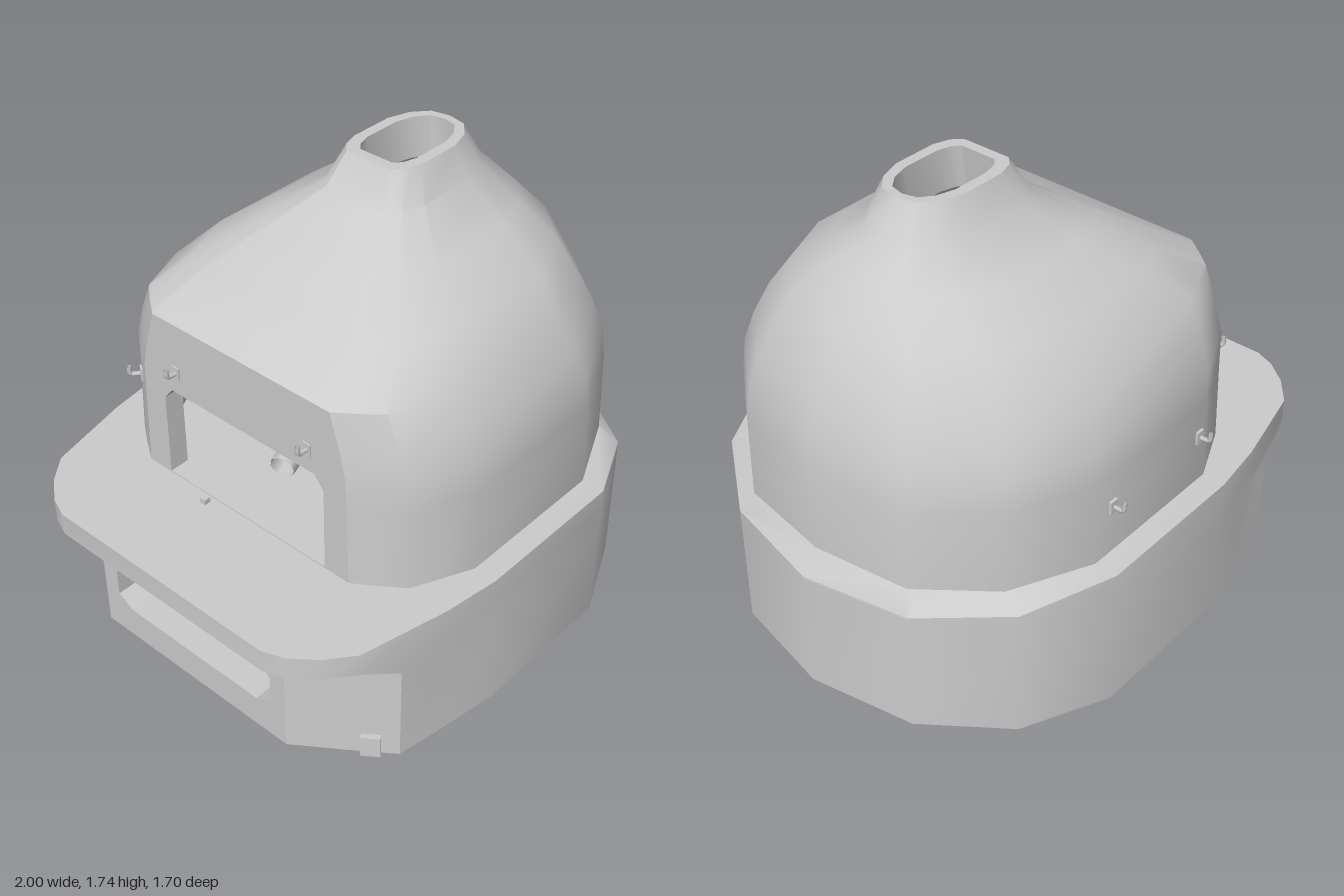
import * as THREE from 'three';
import { toCreasedNormals } from 'three/addons/utils/BufferGeometryUtils.js';

const grey = new THREE.MeshStandardMaterial({ color: 0xcccccc });
const greyDouble = new THREE.MeshStandardMaterial({ color: 0xcccccc, side: THREE.DoubleSide });

// Half outlines [x, z], running from the mouth (-x) round to the rear (+x)
const SLAB = [[-1, .49], [-.97, .57], [-.9, .66], [-.8, .74], [-.46, .82], [-.24, .85], [.38, .85], [.7, .7], [.92, .41], [1, 0]];
const FOOT = [[-.87, .46], [-.82, .53], [-.75, .63], [-.64, .78], [-.44, .815], [-.22, .85], [.38, .85], [.7, .7], [.92, .41], [1, 0]];
const DOME = [[-.58, .49], [-.56, .52], [-.52, .58], [-.46, .66], [-.35, .71], [-.24, .76], [.38, .76], [.68, .62], [.88, .37], [.935, 0]];

// Closed ring from a half outline; y is a number or a function of x
function ring(half, y) {
  const full = [...half, ...half.slice(0, -1).reverse().map(([x, z]) => [x, -z])];
  return full.map(([x, z]) => [x, typeof y === 'function' ? y(x) : y, z]);
}

// Dome outline squeezed to the range x0..x1 and half width w
function domeRing(y, x0, x1, w) {
  return ring(DOME.map(([x, z]) => [x0 + (x + .58) / 1.515 * (x1 - x0), z / .76 * w]), y);
}

// Skin over rings from bottom to top; the front segment is left out on the first `open` bands
function loft(rings, { open = 0, inward = false, capBottom = false, capTop = false, crease = .6 } = {}) {
  const pos = [];
  const tri = (a, b, c) => (inward ? pos.push(...a, ...c, ...b) : pos.push(...a, ...b, ...c));
  const n = rings[0].length;
  for (let r = 0; r < rings.length - 1; r++) {
    for (let i = 0; i < n; i++) {
      if (i === n - 1 && r < open) continue;
      const j = (i + 1) % n, a = rings[r], b = rings[r + 1];
      tri(a[i], a[j], b[j]);
      tri(a[i], b[j], b[i]);
    }
  }
  const fan = (q, flip) => {
    const c = [.1, q[0][1], 0];
    for (let i = 0; i < n; i++) {
      const j = (i + 1) % n;
      flip ? tri(c, q[j], q[i]) : tri(c, q[i], q[j]);
    }
  };
  if (capBottom) fan(rings[0], true);
  if (capTop) fan(rings[rings.length - 1], false);
  const g = new THREE.BufferGeometry();
  g.setAttribute('position', new THREE.Float32BufferAttribute(pos, 3));
  return toCreasedNormals(g, crease);
}

// Symmetric polygon from its right half, listed bottom to top
function mirrored(half, Type = THREE.Shape) {
  const pts = [...half, ...half.slice().reverse().map(([x, y]) => [-x, y])];
  return new Type(pts.map(([x, y]) => new THREE.Vector2(x, y)));
}

// Upright wall facing -x with one opening
function frontPanel(outline, hole, depth) {
  const shape = mirrored(outline);
  shape.holes.push(mirrored(hole, THREE.Path));
  return new THREE.ExtrudeGeometry(shape, { depth, bevelEnabled: false }).rotateY(Math.PI / 2);
}

export function createModel() {
  const model = new THREE.Group();
  const add = (name, geometry, material = grey, parent = model) => {
    const m = new THREE.Mesh(geometry, material);
    m.name = name;
    parent.add(m);
    return m;
  };

  // Base with overhanging shelf; the ledge dips towards the rear
  const edge = x => (x <= .38 ? .58 : .58 - (x - .38) / .62 * .09);
  add('base', loft([
    ring(FOOT, 0), ring(FOOT, .4),
    ring(SLAB, x => Math.min(.49, edge(x) - .01)), ring(SLAB, edge), ring(DOME, .58),
  ], { open: 1, capBottom: true, capTop: true }));

  // Front wall of the base with the wood store
  const store = add('woodStore', frontPanel(
    [[.46, 0], [.46, .4]], [[.32, .13], [.39, .17], [.39, .28], [.34, .33]], .35));
  store.position.x = -.87;
  const back = add('woodStoreBack', new THREE.PlaneGeometry(.85, .3), greyDouble);
  back.rotation.y = Math.PI / 2;
  back.position.set(-.525, .23, 0);

  // Dome tapering into the chimney, with rim and inner lining
  add('dome', loft([
    domeRing(.58, -.58, .935, .76), domeRing(.9, -.58, .935, .745), domeRing(1.02, -.58, .915, .74),
    domeRing(1.14, -.58, .885, .695), domeRing(1.26, -.58, .835, .635), domeRing(1.38, -.39, .77, .53),
    domeRing(1.5, -.2, .67, .365), domeRing(1.62, -.01, .56, .2), domeRing(1.74, .06, .49, .15),
    domeRing(1.74, .1, .46, .11),
  ], { open: 4 }));
  add('lining', loft([
    domeRing(.58, -.5, .85, .68), domeRing(1.02, -.5, .83, .66), domeRing(1.22, -.5, .74, .55),
    domeRing(1.42, -.22, .62, .36), domeRing(1.58, .08, .46, .11), domeRing(1.74, .1, .46, .11),
  ], { open: 2, inward: true }));

  // Flat face around the oven mouth
  const face = add('ovenMouth', frontPanel(
    [[.49, .58], [.48, .9], [.477, 1.02], [.448, 1.14], [.41, 1.26]],
    [[.38, .585], [.38, .92], [.34, .97]], .08));
  face.position.x = -.58;

  // Firewood on the oven floor
  [[-.1, -.18, .5], [.1, .1, -.4], [.05, -.02, 1.3]].forEach(([x, z, turn], i) => {
    const path = new THREE.CatmullRomCurve3([[-.28, 0, 0], [-.08, .04, .04], [.1, .02, -.03], [.28, .05, .02]]
      .map(p => new THREE.Vector3(...p)));
    const log = add('log', new THREE.TubeGeometry(path, 8, .05, 7), greyDouble);
    log.position.set(x, .64 + i * .04, z);
    log.rotation.y = turn;
  });

  // Tool hooks: [x, y, z, turn], reaching out along local +z
  const hookPath = new THREE.CatmullRomCurve3([[0, 0, -.02], [0, 0, .03], [0, .005, .043], [0, .035, .045]]
    .map(p => new THREE.Vector3(...p)));
  [[-.58, 1.06, .31, -Math.PI / 2], [-.58, 1.06, -.31, -Math.PI / 2],
    [-.2, .77, -.755, Math.PI], [.29, .77, -.755, Math.PI], [-.52, .9, -.57, -2.2]].forEach(([x, y, z, turn]) => {
    const hook = new THREE.Group();
    hook.name = 'hook';
    add('hookRod', new THREE.TubeGeometry(hookPath, 10, .009, 6), greyDouble, hook);
    add('hookPlate', new THREE.BoxGeometry(.035, .05, .012), grey, hook);
    hook.position.set(x, y, z);
    hook.rotation.y = turn;
    model.add(hook);
  });

  // Small fittings
  add('peg', new THREE.BoxGeometry(.025, .02, .025)).position.set(-.76, .78, 0);
  const bracket = add('bracket', new THREE.ConeGeometry(.03, .07, 4));
  bracket.position.set(-.75, .27, -.635);
  bracket.rotation.x = Math.PI;
  const block = add('footBlock', new THREE.BoxGeometry(.07, .09, .04));
  block.position.set(-.7, .045, .7);
  block.rotation.y = -.95;

  return model;
}
